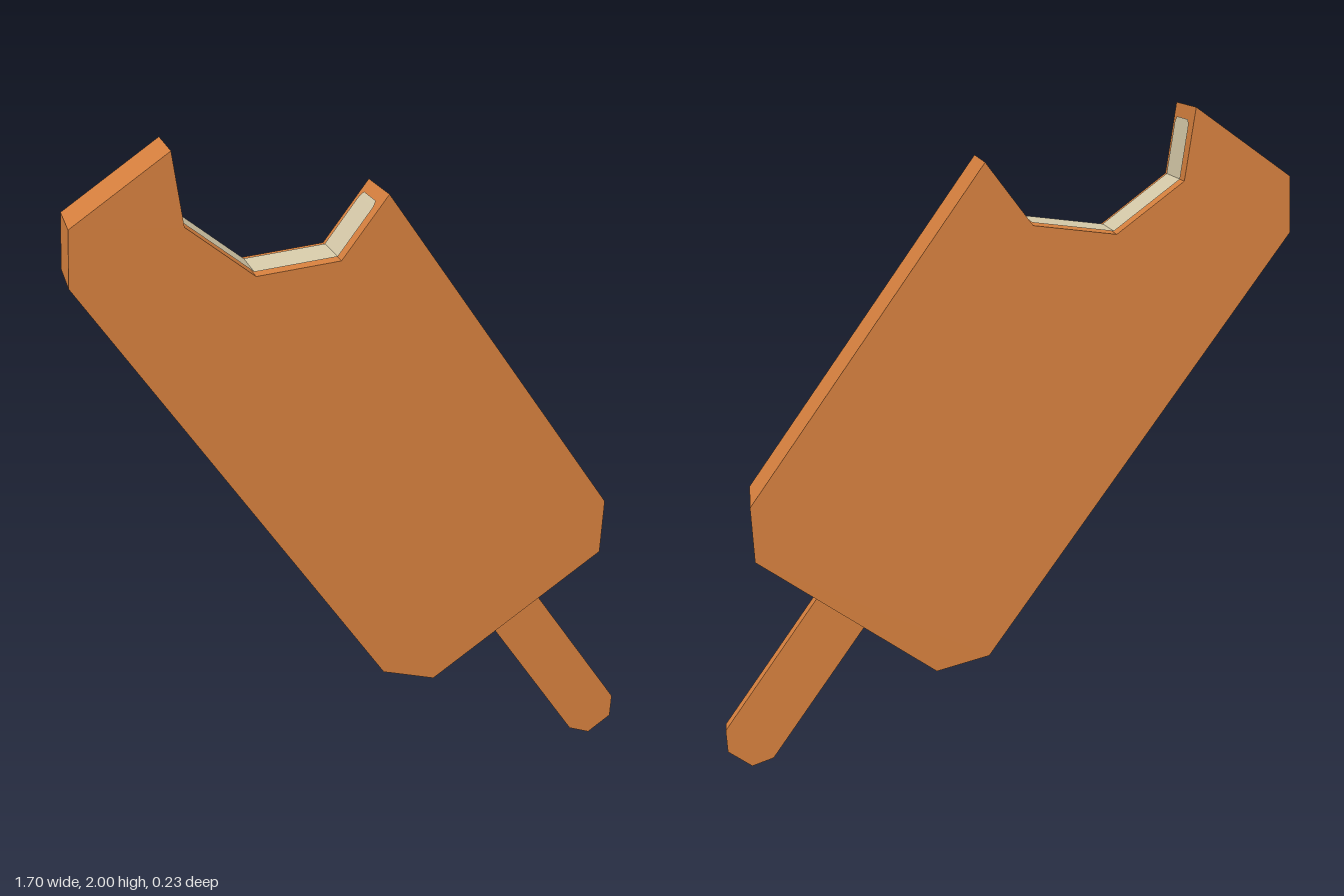
import * as THREE from 'three';

const coating = new THREE.MeshStandardMaterial({ name: 'caramel coating', color: 0xd6803e });
const filling = new THREE.MeshStandardMaterial({ name: 'cream filling', color: 0xd6caa9 });

// Flat outline extruded symmetrically about z = 0
function slab(name, points, depth) {
  const shape = new THREE.Shape(points.map(([x, y]) => new THREE.Vector2(x, y)));
  const geometry = new THREE.ExtrudeGeometry(shape, { depth, bevelEnabled: false });
  geometry.translate(0, 0, -depth / 2);
  const mesh = new THREE.Mesh(geometry, coating);
  mesh.name = name;
  return mesh;
}

// Ribbon through sections of [x, y, half width]
function ribbon(name, sections) {
  const positions = [];
  for (let i = 0; i < sections.length - 1; i++) {
    const [ax, ay, aw] = sections[i];
    const [bx, by, bw] = sections[i + 1];
    positions.push(ax, ay, -aw, ax, ay, aw, bx, by, -bw);
    positions.push(bx, by, -bw, ax, ay, aw, bx, by, bw);
  }
  const geometry = new THREE.BufferGeometry();
  geometry.setAttribute('position', new THREE.Float32BufferAttribute(positions, 3));
  geometry.computeVertexNormals();
  const mesh = new THREE.Mesh(geometry, filling);
  mesh.name = name;
  return mesh;
}

export function createModel() {
  const group = new THREE.Group();
  group.name = 'iceCreamBar';

  // Bitten edge, from the tall tip to the other tip
  const bite = [[-0.557, 2], [-0.528, 1.79], [-0.332, 1.64], [-0.087, 1.67], [0.052, 1.852]];

  // Bar with cut corners
  group.add(slab('bar', [
    ...bite,
    [0.747, 0.86], [0.738, 0.692], [0.203, 0.318], [0.042, 0.36], [-0.851, 1.637], [-0.843, 1.8],
  ], 0.232));

  // Stick, running a little way into the bar
  group.add(slab('stick', [
    [0.36, 0.518], [0.704, 0.023], [0.77, 0], [0.843, 0.052], [0.847, 0.123], [0.505, 0.613],
  ], 0.05));

  // Cream showing inside the bite, inset from its rim and lifted off the surface
  const along = (a, b, t) => [a[0] + (b[0] - a[0]) * t, a[1] + (b[1] - a[1]) * t];
  const path = [
    [...along(bite[0], bite[1], 0.18), 0.067],
    [...along(bite[0], bite[1], 0.26), 0.081],
    [...bite[1], 0.081], [...bite[2], 0.081], [...bite[3], 0.081],
    [...along(bite[4], bite[3], 0.24), 0.081],
    [...along(bite[4], bite[3], 0.16), 0.067],
  ];
  const centre = new THREE.Vector2(-0.24, 1.93);
  group.add(ribbon('creamFilling', path.map(([x, y, w]) => {
    const lift = centre.clone().sub(new THREE.Vector2(x, y)).setLength(0.005);
    return [x + lift.x, y + lift.y, w];
  })));

  return group;
}
